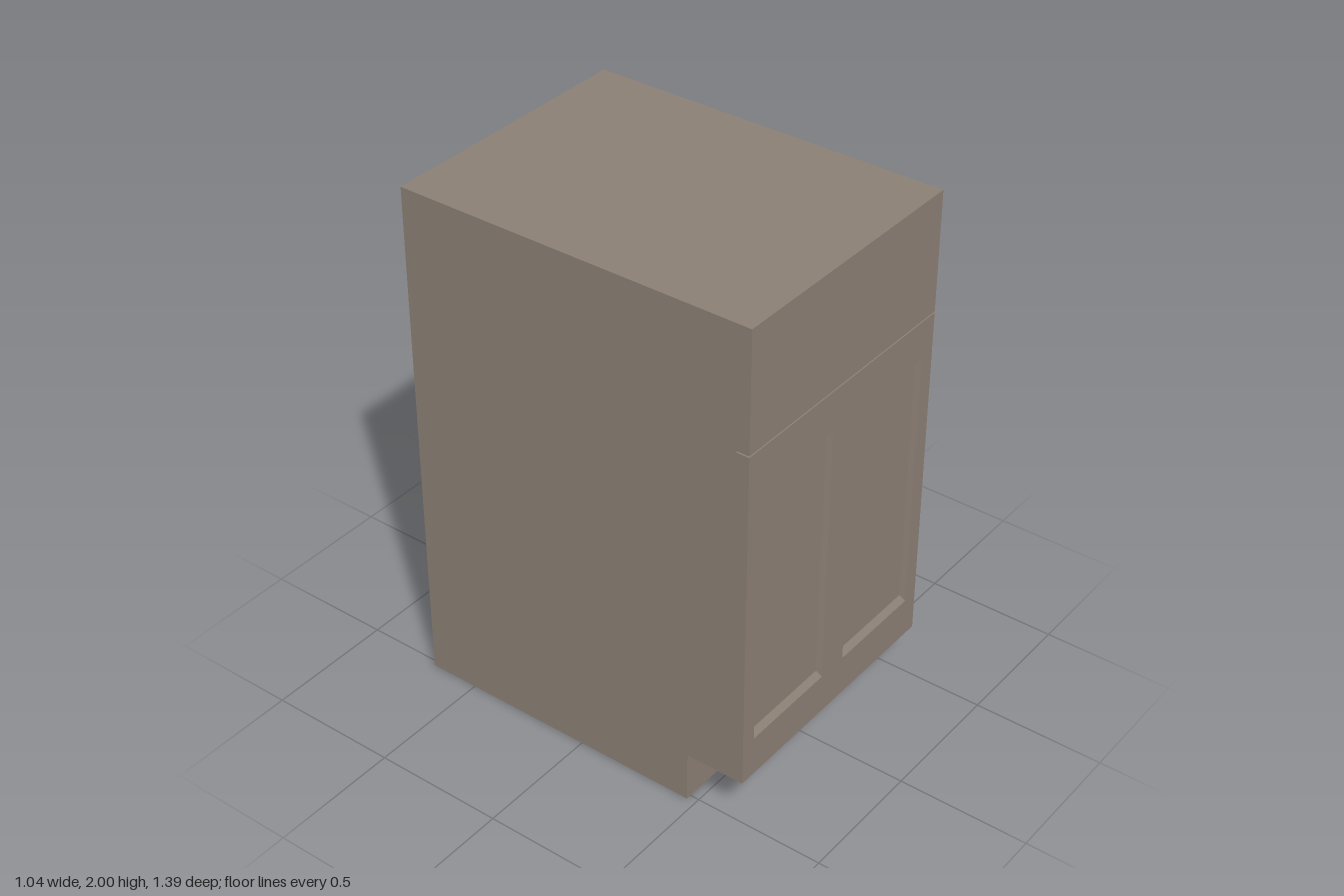
import * as THREE from 'three';

const W = 1.04, FRONT = 0.695, BACK = -0.695, RECESS = 0.02;
const GAP_LOW = 1.537, GAP_HIGH = 1.543, BASE = 0.2;

// Rectangle outline, counter-clockwise
function rect(x0, y0, x1, y1) {
  return [[x0, y0], [x1, y0], [x1, y1], [x0, y1]];
}

const toPoints = (list) => list.map(([x, y]) => new THREE.Vector2(x, y));

// Four sloped faces joining an outer outline at zOuter to an inner one at zInner
function slopedFrame(outer, inner, zOuter, zInner) {
  const pos = [];
  for (let i = 0; i < 4; i++) {
    const j = (i + 1) % 4;
    const a = [...outer[i], zOuter], b = [...outer[j], zOuter];
    const c = [...inner[j], zInner], d = [...inner[i], zInner];
    pos.push(...a, ...b, ...c, ...a, ...c, ...d);
  }
  const geo = new THREE.BufferGeometry();
  geo.setAttribute('position', new THREE.Float32BufferAttribute(pos, 3));
  geo.computeVertexNormals();
  return geo;
}

export function createModel() {
  const group = new THREE.Group();
  const paint = new THREE.MeshStandardMaterial({ color: 0x8b7f74 });
  const add = (name, geo) => {
    const mesh = new THREE.Mesh(geo, paint);
    mesh.name = name;
    group.add(mesh);
  };

  // Carcass: side profile (z, y) with toe kick, door seat and drawer gap
  const panelZ = FRONT - RECESS, gapZ = FRONT - 0.05;
  const profile = toPoints([
    [BACK, 0], [0.465, 0], [0.465, BASE], [panelZ, BASE], [panelZ, GAP_LOW],
    [gapZ, GAP_LOW], [gapZ, GAP_HIGH], [FRONT, GAP_HIGH], [FRONT, 2], [BACK, 2],
  ]);
  const carcass = new THREE.ExtrudeGeometry(new THREE.Shape(profile), { depth: W, bevelEnabled: false });
  carcass.rotateY(-Math.PI / 2).translate(W / 2, 0, 0);
  add('carcass', carcass);

  // Door front with two openings, and a sloped moulding in each
  const doors = new THREE.Shape(toPoints(rect(-W / 2, BASE, W / 2, GAP_LOW)));
  for (const [side, cx] of [['left', 0.26], ['right', -0.26]]) {
    const outer = rect(cx - 0.198, 0.357, cx + 0.198, 1.387);
    const inner = rect(cx - 0.19, 0.379, cx + 0.19, 1.368);
    doors.holes.push(new THREE.Path(toPoints(outer)));
    add(side + 'PanelMoulding', slopedFrame(outer, inner, FRONT, panelZ));
  }
  const doorGeo = new THREE.ExtrudeGeometry(doors, { depth: RECESS, bevelEnabled: false });
  add('doorFront', doorGeo.translate(0, 0, panelZ));

  return group;
}
